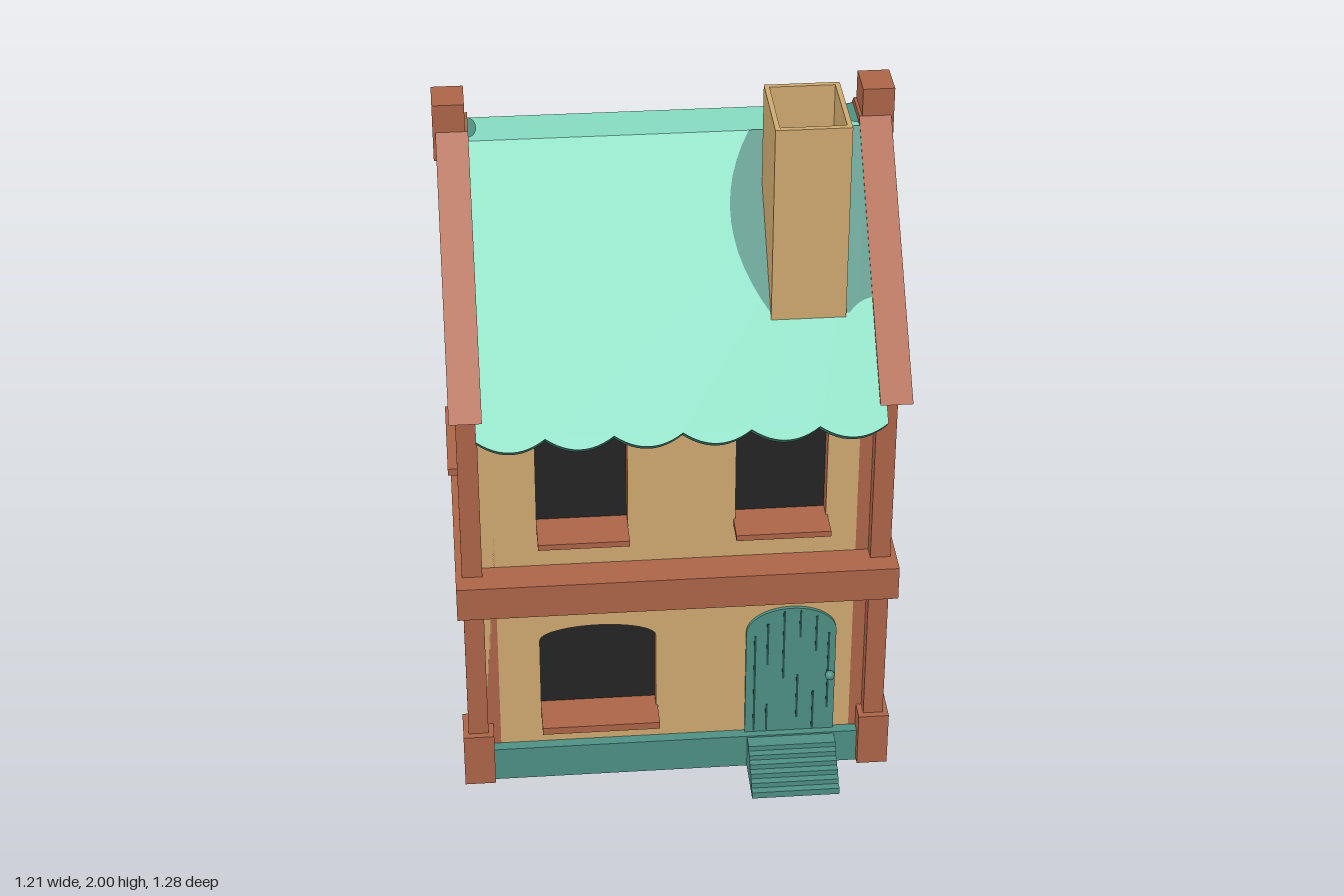
import * as THREE from 'three';

const mat = (name, color, extra = {}) => {
  const m = new THREE.MeshStandardMaterial({ color, ...extra });
  m.name = name;
  return m;
};

export function createModel() {
  const plaster = mat('tan plaster', 0xd0aa70);
  const timber = mat('terracotta timber', 0xae6548);
  const teal = mat('dark teal', 0x4f9184);
  const mint = mat('mint roof', 0x86dcc1);
  const glass = mat('dark glass', 0x242424);
  const groove = mat('door groove', 0x264f49);

  const house = new THREE.Group();
  house.name = 'house';

  const add = (name, geo, material, parent = house) => {
    const m = new THREE.Mesh(geo, material);
    m.name = name;
    parent.add(m);
    return m;
  };
  // Box given by its min and max along each axis
  const box = (name, x0, x1, y0, y1, z0, z1, material, parent) => {
    const g = new THREE.BoxGeometry(x1 - x0, y1 - y0, z1 - z0);
    g.translate((x0 + x1) / 2, (y0 + y1) / 2, (z0 + z1) / 2);
    return add(name, g, material, parent);
  };
  const polygon = (pts) => new THREE.Shape(pts.map(([x, y]) => new THREE.Vector2(x, y)));
  const rect = (x0, x1, y0, y1) => polygon([[x0, y0], [x1, y0], [x1, y1], [x0, y1]]);
  // Opening with a shallow arched head
  const arch = (x0, x1, y0, spring, top) => {
    const s = new THREE.Shape();
    s.moveTo(x0, y0).lineTo(x1, y0).lineTo(x1, spring);
    s.absellipse((x0 + x1) / 2, spring, (x1 - x0) / 2, top - spring, 0, Math.PI, false);
    return s;
  };
  const extrude = (shape, depth) =>
    new THREE.ExtrudeGeometry(shape, { depth, bevelEnabled: false, curveSegments: 12 });

  // Wall facing local +z with its outer face at z = dist; reveals are timber
  const wall = (name, outline, holes, dist, angle) => {
    const g = new THREE.Group();
    g.name = name;
    g.rotation.y = angle;
    house.add(g);
    outline.holes = holes;
    const geo = extrude(outline, 0.05).translate(0, 0, dist - 0.05);
    add('wallPanel', geo, [plaster, timber], g);
    holes.forEach((h) => add('windowGlass', new THREE.ShapeGeometry(h).translate(0, 0, dist - 0.045), glass, g));
    return g;
  };

  const W = 0.54, D = 0.42;
  const upper = () => [arch(-0.375, -0.13, 0.83, 1.11, 1.175), arch(0.16, 0.405, 0.83, 1.11, 1.175)];

  // Front wall
  const front = wall('frontWall', rect(-W, W, 0.05, 1.38),
    [...upper(), arch(-0.375, -0.055, 0.21, 0.455, 0.5)], D, 0);
  box('windowSill', -0.375, -0.13, 0.815, 0.832, D - 0.04, 0.5, timber, front);
  box('windowSill', 0.155, 0.41, 0.815, 0.832, D - 0.04, 0.5, timber, front);
  box('windowSill', -0.375, -0.05, 0.19, 0.212, D - 0.04, 0.5, timber, front);

  // Back wall, with teal sills
  const backHoles = [arch(-0.405, -0.16, 0.83, 1.11, 1.175), arch(0.13, 0.375, 0.83, 1.11, 1.175)];
  const back = wall('backWall', rect(-W, W, 0.05, 1.38), backHoles, D, Math.PI);
  box('windowSill', -0.41, -0.155, 0.815, 0.832, D - 0.04, 0.495, teal, back);
  box('windowSill', 0.125, 0.38, 0.815, 0.832, D - 0.04, 0.495, teal, back);

  // Gable walls: plain on the left, two windows and a tie beam on the right
  const gable = () => polygon([[-D, 0.05], [D, 0.05], [D, 1.36], [0.055, 1.785], [-0.055, 1.785], [-D, 1.36]]);
  wall('leftGableWall', gable(), [], W, Math.PI / 2);
  const right = wall('rightGableWall', gable(),
    [arch(-0.14, 0.14, 0.86, 1.1, 1.165), rect(-0.24, 0.24, 0.17, 0.42)], W, -Math.PI / 2);
  box('windowSill', -0.16, 0.16, 0.84, 0.861, W - 0.04, 0.605, timber, right);
  box('tieBeam', -0.43, 0.43, 1.18, 1.25, W - 0.02, 0.575, timber, right);

  // Plinth, floor band and corner posts
  box('plinth', -0.57, 0.57, 0, 0.105, -0.45, 0.45, teal);
  box('floorBand', -0.597, 0.597, 0.61, 0.71, -0.517, 0.517, timber);
  for (const sx of [-1, 1]) {
    for (const sz of [-1, 1]) {
      const span = (s, a, b) => (s > 0 ? [a, b] : [-b, -a]);
      box('cornerPost', ...span(sx, 0.525, 0.58), 0.1, 1.36, ...span(sz, 0.385, 0.46), timber);
      box('postFoot', ...span(sx, 0.51, 0.595), 0.01, 0.175, ...span(sz, 0.37, 0.478), timber);
    }
  }

  // Door with plank grooves and knob
  const door = new THREE.Group();
  door.name = 'door';
  house.add(door);
  add('doorPanel', extrude(arch(0.195, 0.445, 0.1, 0.45, 0.53), 0.03).translate(0, 0, 0.4), teal, door);
  const grooves = [[0.22, 0.11, 0.44], [0.255, 0.34, 0.48], [0.255, 0.11, 0.2], [0.3, 0.29, 0.52],
    [0.34, 0.15, 0.3], [0.345, 0.43, 0.52], [0.385, 0.11, 0.24], [0.39, 0.38, 0.5], [0.425, 0.18, 0.44]];
  grooves.forEach(([x, y0, y1]) => box('plankGroove', x - 0.003, x + 0.003, y0, y1, 0.428, 0.432, groove, door));
  add('doorKnob', new THREE.SphereGeometry(0.014, 12, 8).translate(0.43, 0.3, 0.442), teal, door);

  // Front steps
  const steps = 6;
  for (let i = 0; i < steps; i++) {
    box('doorStep', 0.2, 0.445, 0, 0.1 - i * 0.016, 0.44, 0.49 + i * 0.021, teal);
  }

  // Roof slopes with scalloped eaves
  const half = 0.53, scallops = 6, pitch = 0.807;
  const slopeShape = () => {
    const s = new THREE.Shape();
    s.moveTo(half, 0).lineTo(-half, 0).lineTo(-half, -0.795);
    const w = (2 * half) / scallops;
    for (let i = 0; i < scallops; i++) {
      const x = -half + i * w;
      s.quadraticCurveTo(x + w / 2, -0.858, x + w, -0.795);
    }
    return s;
  };
  for (const angle of [0, Math.PI]) {
    const side = new THREE.Group();
    side.name = angle ? 'backRoof' : 'frontRoof';
    side.rotation.y = angle;
    house.add(side);
    const slope = new THREE.Group();
    slope.name = 'roofSlope';
    slope.position.set(0, 1.82, 0.067);
    slope.rotation.x = pitch - Math.PI / 2;
    side.add(slope);
    add('roofSlab', extrude(slopeShape(), 0.03).translate(0, 0, -0.032), teal, slope);
    add('roofCovering', new THREE.ShapeGeometry(slopeShape()), mint, slope);
    if (!angle) {
      // Dark patch around the chimney
      const p = new THREE.Shape();
      p.moveTo(0.53, 0).lineTo(0.22, 0);
      p.quadraticCurveTo(0.08, -0.24, 0.25, -0.5);
      p.lineTo(0.45, -0.5);
      p.quadraticCurveTo(0.48, -0.46, 0.53, -0.46);
      add('roofPatch', new THREE.ShapeGeometry(p).translate(0, 0, 0.003), teal, slope);
    }
  }
  box('roofRidge', -half, half, 1.785, 1.82, -0.067, 0.067, mint);
  for (const [x, r] of [[-0.515, 0.025], [0.515, 0.04]]) {
    const g = new THREE.CircleGeometry(1, 20).rotateX(-Math.PI / 2).scale(r, 1, 0.058);
    add('ridgePatch', g.translate(x, 1.823, -0.005), teal);
  }

  // Bargeboards and ridge blocks at both gables
  const edge = [[0.055, 1.842], [0.59, 1.283], [0.505, 1.24], [0.055, 1.76]];
  const board = polygon([...edge, ...edge.map(([z, y]) => [-z, y]).reverse()]);
  for (const s of [-1, 1]) {
    const g = extrude(board, 0.085).translate(0, 0, -0.0425).rotateY(Math.PI / 2);
    add('bargeboard', g.translate(s * 0.5545, 0, 0), timber);
    const c = s * 0.562;
    box('ridgeBlock', c - 0.042, c + 0.042, 1.76, 1.92, -0.055, 0.055, timber);
  }

  // Hollow chimney with a raised floor
  const flue = rect(0.245, 0.44, -0.42, -0.165);
  flue.holes = [rect(0.258, 0.427, -0.405, -0.18)];
  add('chimney', extrude(flue, 0.58).rotateX(-Math.PI / 2).translate(0, 1.42, 0), plaster);
  box('chimneyFloor', 0.25, 0.435, 1.5, 1.653, 0.18, 0.41, plaster);

  return house;
}
